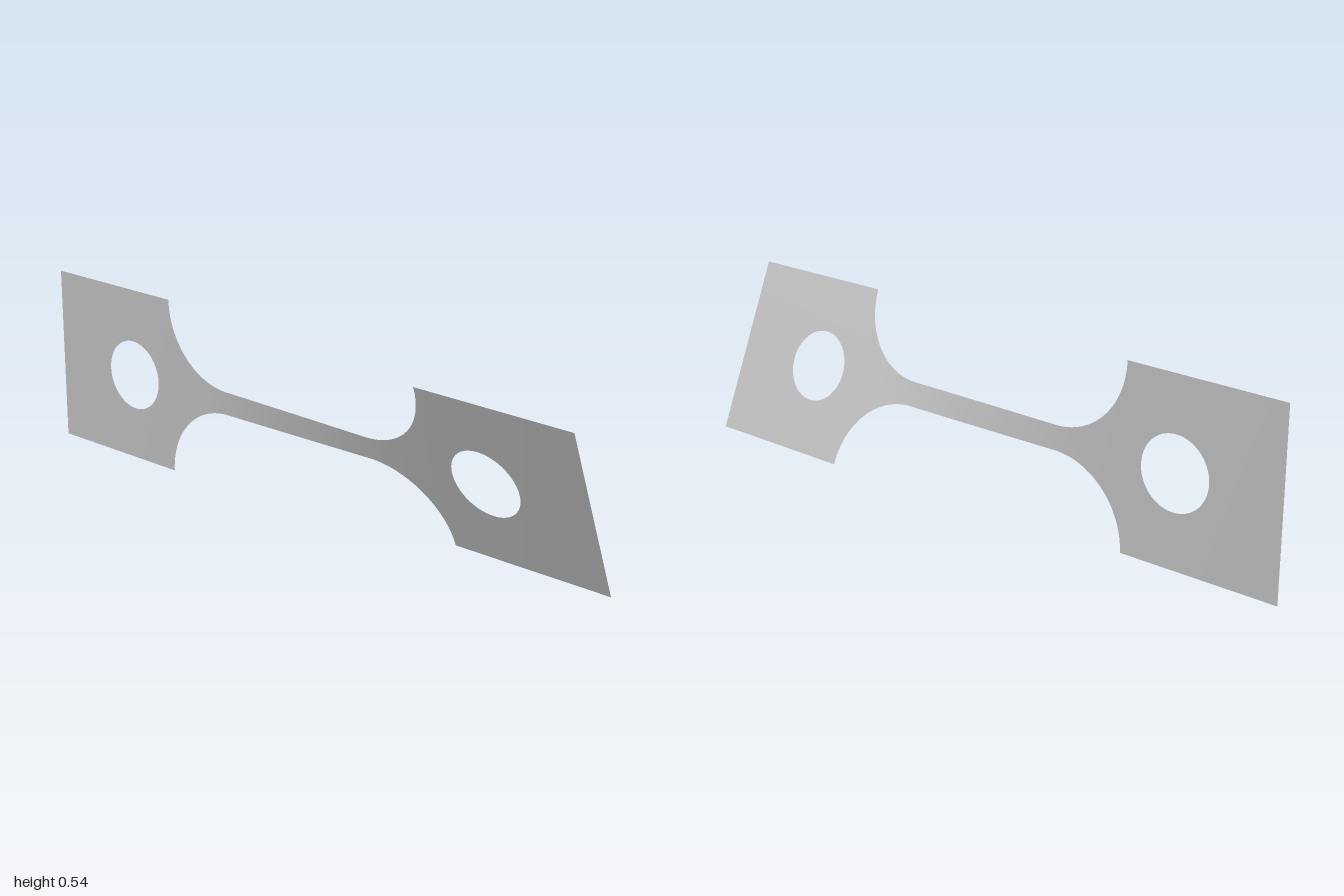
import * as THREE from 'three';
import { ParametricGeometry } from 'three/addons/geometries/ParametricGeometry.js';

const MID_Y = 0.271;      // height of the twist axis
const HALF = 0.271;       // half height of the end plates
const NECK = 0.036;       // half height of the neck
const FILLET = HALF - NECK;
const FILLET_X = 0.27;    // where the neck starts to flare
const PLATE_X = FILLET_X + FILLET;
const HOLE_X = 0.67, HOLE_R = 0.108;
const TWIST = THREE.MathUtils.degToRad(22.8);

// Half height of the strip at x
function halfHeight(x) {
  const d = Math.abs(x) - FILLET_X;
  if (d <= 0) return NECK;
  if (d >= FILLET) return HALF;
  return HALF - Math.sqrt(FILLET * FILLET - d * d);
}

// Twist angle along x: the slender neck turns most, the wide plates hardly
const STEPS = 1000;
const turned = [0];
for (let i = 0; i < STEPS; i++) {
  const x = -1 + (2 * (i + 0.5)) / STEPS;
  turned.push(turned[i] + Math.pow(halfHeight(x), -1.3));
}
function twistAt(x) {
  const s = THREE.MathUtils.clamp((x + 1) / 2, 0, 1) * STEPS;
  const i = Math.min(Math.floor(s), STEPS - 1);
  return (TWIST * THREE.MathUtils.lerp(turned[i], turned[i + 1], s - i)) / turned[STEPS];
}

// Move a point of the flat strip onto the twisted sheet
function place(x, v, target) {
  const a = twistAt(x);
  target.set(x, MID_Y + v * Math.cos(a), v * Math.sin(a));
}

function sheet(name, func, slices, stacks, material) {
  const geometry = new ParametricGeometry(func, slices, stacks);
  geometry.computeVertexNormals();
  const mesh = new THREE.Mesh(geometry, material);
  mesh.name = name;
  return mesh;
}

// Rectangular end plate with a round hole, as rings from the hole to the outline
function endPlate(name, x0, x1, holeX, material) {
  const corners = [[x1, -HALF], [x1, HALF], [x0, HALF], [x0, -HALF]];
  return sheet(name, (u, v, target) => {
    const s = v * 4;
    const side = Math.min(Math.floor(s), 3);
    const [ax, ay] = corners[side];
    const [bx, by] = corners[(side + 1) % 4];
    const ox = THREE.MathUtils.lerp(ax, bx, s - side);
    const oy = THREE.MathUtils.lerp(ay, by, s - side);
    const a = Math.atan2(oy, ox - holeX);
    const hx = holeX + HOLE_R * Math.cos(a);
    const hy = HOLE_R * Math.sin(a);
    place(THREE.MathUtils.lerp(hx, ox, u), THREE.MathUtils.lerp(hy, oy, u), target);
  }, 10, 96, material);
}

export function createModel() {
  const group = new THREE.Group();
  group.name = 'twistedTestStrip';
  const metal = new THREE.MeshStandardMaterial({ color: 0xb8b8b8, side: THREE.DoubleSide });
  metal.name = 'grey metal';

  // Neck with its flared ends; samples crowd towards the steep fillet ends
  group.add(sheet('neck', (u, v, target) => {
    const x = PLATE_X * Math.sin(Math.PI * (u - 0.5));
    place(x, (2 * v - 1) * halfHeight(x), target);
  }, 120, 12, metal));

  group.add(endPlate('leftEndPlate', PLATE_X, 1, HOLE_X, metal));
  group.add(endPlate('rightEndPlate', -1, -PLATE_X, -HOLE_X, metal));
  return group;
}
